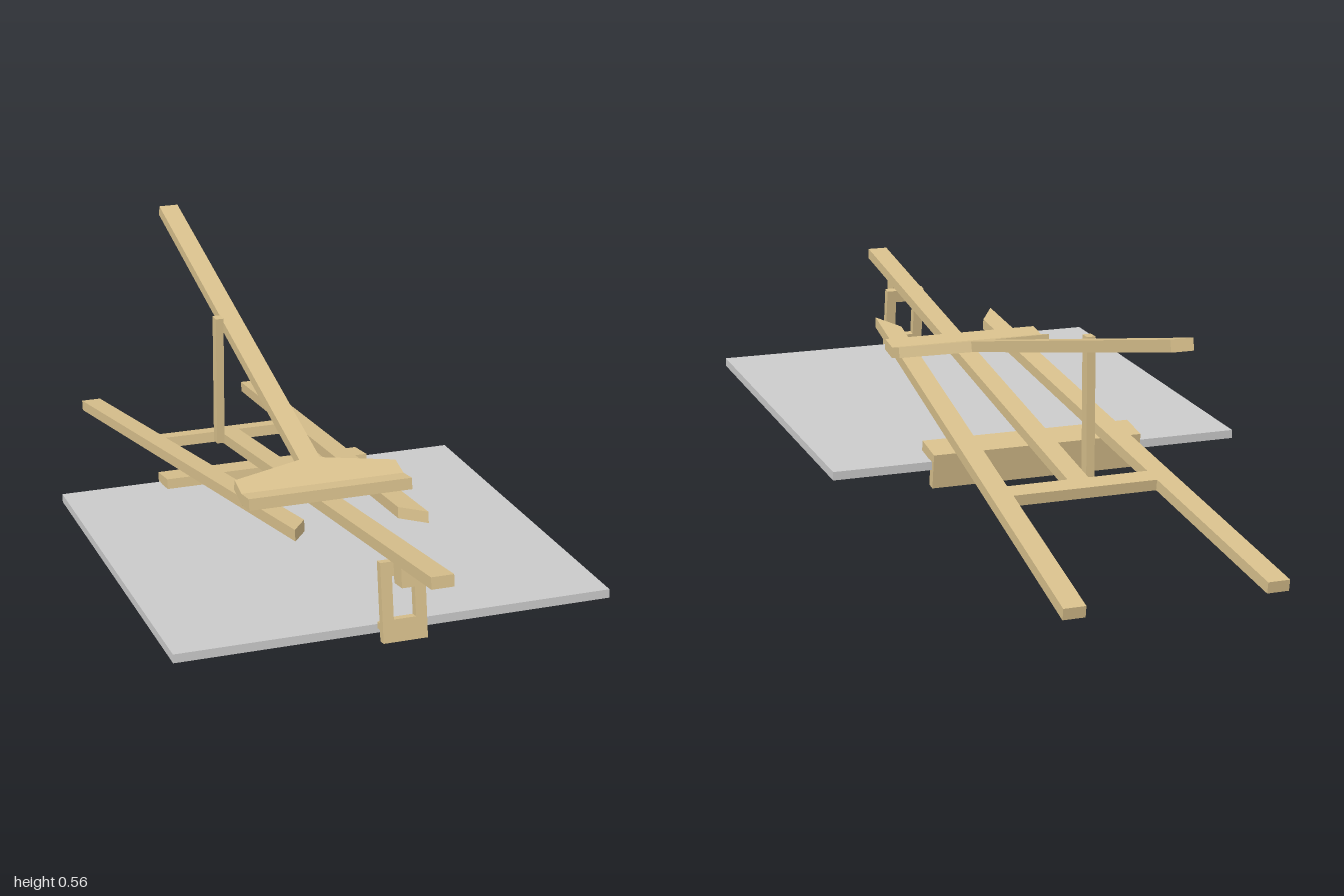
import * as THREE from 'three';

const wood = new THREE.MeshStandardMaterial({ color: 0xd8c08c, flatShading: true });
const grey = new THREE.MeshStandardMaterial({ color: 0xcccccc, flatShading: true });
const T = 0.026; // thickness of the timber

// Box given by its limits on each axis
function box(parent, name, [x0, x1], [y0, y1], [z0, z1], material = wood) {
  const mesh = new THREE.Mesh(new THREE.BoxGeometry(x1 - x0, y1 - y0, z1 - z0), material);
  mesh.position.set((x0 + x1) / 2, (y0 + y1) / 2, (z0 + z1) / 2);
  mesh.name = name;
  parent.add(mesh);
  return mesh;
}

// Flat board from an outline of [x, z] points, with an optional hole
function board(parent, name, points, y0, y1, material = wood, hole) {
  const toVectors = (list) => list.map(([x, z]) => new THREE.Vector2(x, -z));
  const shape = new THREE.Shape(toVectors(points));
  if (hole) shape.holes.push(new THREE.Path(toVectors(hole)));
  const geometry = new THREE.ExtrudeGeometry(shape, { depth: y1 - y0, bevelEnabled: false });
  geometry.rotateX(-Math.PI / 2);
  geometry.translate(0, y0, 0);
  const mesh = new THREE.Mesh(geometry, material);
  mesh.name = name;
  parent.add(mesh);
  return mesh;
}

const rect = (x, z) => [[-x, -z], [x, -z], [x, z], [-x, z]];

function tilted(parent, name, x, y, z, angle) {
  const group = new THREE.Group();
  group.name = name;
  group.position.set(x, y, z);
  group.rotation.x = angle;
  parent.add(group);
  return group;
}

export function createModel() {
  const model = new THREE.Group();
  model.name = 'easel';

  // Front frame: mast, two splayed legs and crossbar in one sloping plane
  const frame = tilted(model, 'frontFrame', 0.005, 0.178, 0, -0.1637);
  box(frame, 'mast', [-0.025, 0.025], [-T / 2, T / 2], [-0.47, 1.0115]);
  for (const side of [-1, 1]) {
    const outline = [[0.252, -1.0115], [0.155, 0.537], [0.11, 0.466], [0.202, -1.0115]];
    board(frame, side > 0 ? 'leftLeg' : 'rightLeg',
      outline.map(([x, z]) => [side * x, z]), -T / 2, T / 2);
  }
  box(frame, 'crossbar', [-0.18, 0.18], [-T / 2, T / 2], [-0.508, -0.46]);
  box(frame, 'headBlock', [-0.195, 0.195], [T / 2, T / 2 + 0.027], [0.28, 0.335]);

  // Lower ledge that carries the panel
  box(frame, 'ledge', [-0.255, 0.255], [-T / 2 - 0.024, -T / 2], [-0.222, -0.14]);
  box(frame, 'ledgeLip', [-0.255, 0.255], [-0.096, -T / 2 - 0.024], [-0.222, -0.2]);

  // Sliding clamp under the upper mast: open plate, foot and stop block
  const clamp = new THREE.Group();
  clamp.name = 'clamp';
  frame.add(clamp);
  for (const side of [-1, 1]) {
    const x = side * 0.0375;
    box(clamp, 'clampSide', [x - 0.0125, x + 0.0125], [-0.19, -T / 2], [0.762, 0.782]);
  }
  box(clamp, 'clampTop', [-0.025, 0.025], [-0.045, -T / 2], [0.762, 0.782]);
  box(clamp, 'clampBottom', [-0.025, 0.025], [-0.19, -0.14], [0.762, 0.782]);
  box(clamp, 'clampFoot', [-0.05, 0.05], [-0.165, -0.15], [0.748, 0.762]);
  box(clamp, 'stopBlock', [-0.025, 0.025], [-0.056, -T / 2], [0.795, 0.84]);

  // Rear leg with its tapered hinge plate, and the strut that braces it
  const rear = tilted(model, 'rearLegAssembly', 0.005, 0.25, 0.27, 0.229);
  box(rear, 'rearLeg', [-0.025, 0.025], [-T / 2, T / 2], [-1.3, -0.09]);
  board(rear, 'hingePlate',
    [[-0.195, 0.008], [0.195, 0.008], [0.195, -0.056], [0.025, -0.102], [-0.025, -0.102], [-0.195, -0.056]],
    -T / 2, T / 2);
  box(model, 'strut', [-0.04, -0.02], [0.1, 0.433], [-0.443, -0.415]);

  // Panel with a raised rim round a shallow recess
  const panel = tilted(model, 'panel', 0, 0.118, 0.281, -0.037);
  box(panel, 'panelBase', [-0.494, 0.494], [-0.01, 0.001], [-0.482, 0.482], grey);
  board(panel, 'panelRim', rect(0.494, 0.482), 0.001, 0.01, grey, rect(0.445, 0.43));

  return model;
}
